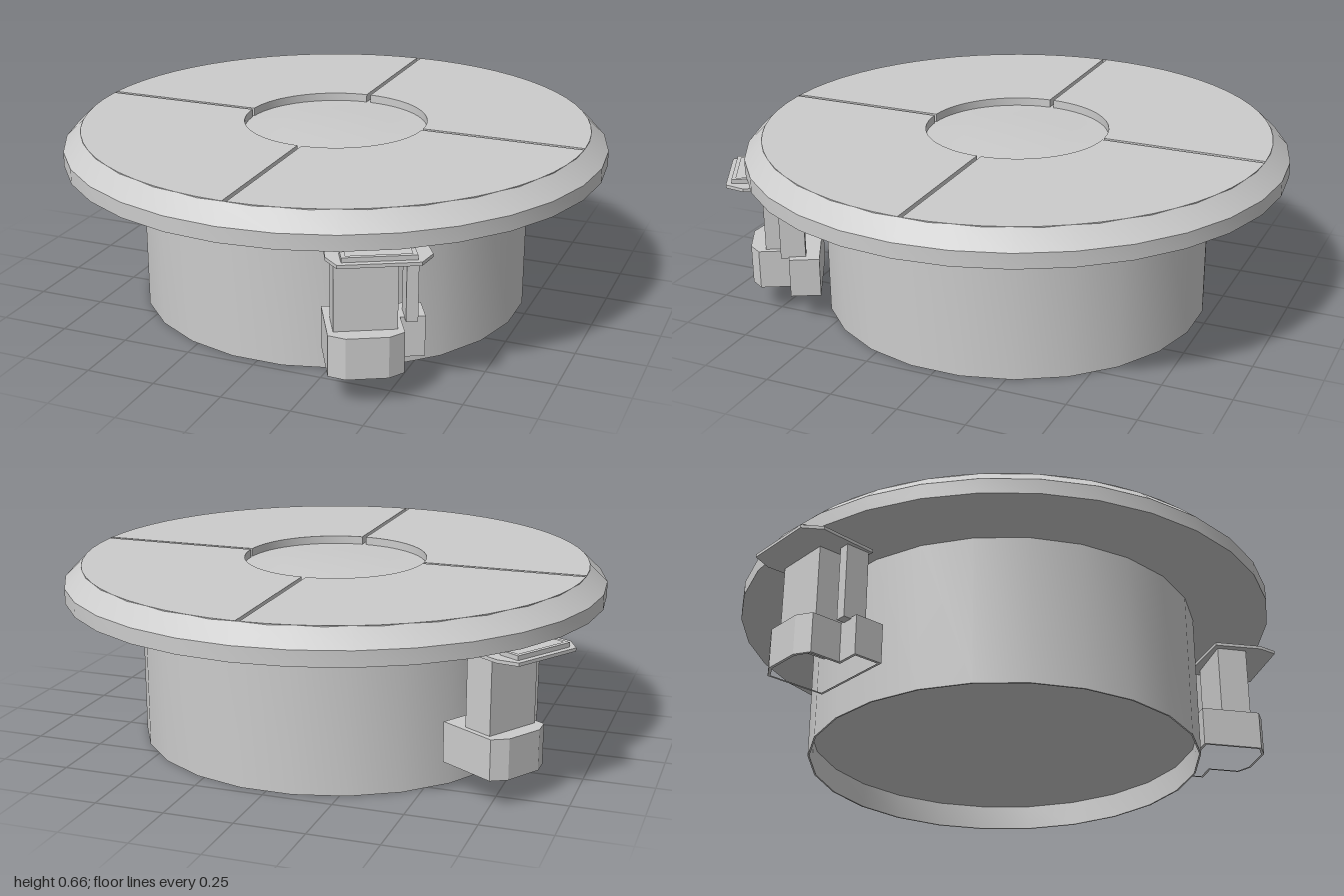
import * as THREE from 'three';
import { toCreasedNormals } from 'three/addons/utils/BufferGeometryUtils.js';

const material = new THREE.MeshStandardMaterial({ color: 0xcccccc });

function add(parent, name, geometry) {
  const mesh = new THREE.Mesh(toCreasedNormals(geometry, 0.5), material);
  mesh.name = name;
  parent.add(mesh);
  return mesh;
}

function lathe(points, sides) {
  return new THREE.LatheGeometry(points.map(([r, y]) => new THREE.Vector2(r, y)), sides);
}

// Upright prism of a plan shape between two heights.
function prism(shape, y0, y1) {
  const g = new THREE.ExtrudeGeometry(shape, { depth: y1 - y0, bevelEnabled: false, curveSegments: 8 });
  return g.rotateX(-Math.PI / 2).translate(0, y0, 0);
}

// Plan outline given as [sideways, outward] pairs.
function outline(points) {
  return new THREE.Shape(points.map(([t, n]) => new THREE.Vector2(t, -n)));
}

function rect(t0, t1, n0, n1) {
  return outline([[t0, n0], [t1, n0], [t1, n1], [t0, n1]]);
}

// Foot plan with chamfered outer corners and a side wing, shrunk by an inset.
function footShape(d) {
  return outline([
    [-0.125 + d, 0.74 + d], [0.21 - d, 0.74 + d], [0.21 - d, 0.85 - d], [0.125 - d, 0.85 - d],
    [0.125 - d, 0.965 - d / 2], [0.07 - d / 2, 0.997 - d], [-0.07 + d / 2, 0.997 - d], [-0.125 + d, 0.965 - d / 2],
  ]);
}

// Quarter of the top face, leaving narrow grooves beside it.
function quarterShape(r0, r1, gap) {
  const a0 = Math.asin(gap / r0), a1 = Math.asin(gap / r1);
  const s = new THREE.Shape();
  s.absarc(0, 0, r1, a1, Math.PI / 2 - a1, false);
  s.absarc(0, 0, r0, Math.PI / 2 - a0, a0, true);
  s.closePath();
  return s;
}

function createClip(angle) {
  const clip = new THREE.Group();
  clip.name = 'sideClip';

  // hollow foot, open below and closed on top
  const wall = footShape(0);
  wall.holes.push(footShape(0.01));
  add(clip, 'clipFootWall', prism(wall, 0.1, 0.235));
  add(clip, 'clipFootTop', prism(footShape(0), 0.235, 0.245));

  // upright column and narrow rib
  add(clip, 'clipColumn', prism(rect(-0.105, 0.105, 0.825, 0.94), 0.24, 0.525));
  add(clip, 'clipRib', prism(rect(0.14, 0.18, 0.79, 0.88), 0.24, 0.525));

  // thin top plate with a low raised frame
  add(clip, 'clipPlate', prism(outline([
    [-0.13, 0.81], [0.19, 0.78], [0.205, 0.995], [0.16, 1.06], [-0.105, 1.06], [-0.135, 0.99],
  ]), 0.515, 0.527));
  const frame = rect(-0.09, 0.15, 0.96, 1.04);
  frame.holes.push(rect(-0.075, 0.135, 0.975, 1.025));
  add(clip, 'clipFrame', prism(frame, 0.525, 0.543));

  clip.rotation.y = Math.PI / 2 - THREE.MathUtils.degToRad(angle);
  return clip;
}

export function createModel() {
  const model = new THREE.Group();
  model.name = 'roundCover';

  // cylindrical housing with a thin skirt around its recessed bottom
  const housing = add(model, 'housing', lathe([
    [0, 0.095], [0.715, 0.095], [0.715, 0], [0.721, 0], [0.721, 0.545], [0, 0.545],
  ], 24));
  housing.rotation.y = Math.PI / 24;

  // wide cap with bevelled rim, groove floor and gently domed centre
  add(model, 'cap', lathe([
    [0, 0.545], [1, 0.545], [1, 0.6], [0.935, 0.662], [0.935, 0.632],
    [0.335, 0.632], [0.2, 0.641], [0, 0.645],
  ], 32));

  // four quarter plates around the central recess
  for (let i = 0; i < 4; i++) {
    const plate = add(model, 'topQuarter', prism(quarterShape(0.338, 0.935, 0.008), 0.632, 0.662));
    plate.rotation.y = i * Math.PI / 2;
  }

  // mounting clips
  model.add(createClip(62), createClip(212));
  return model;
}
